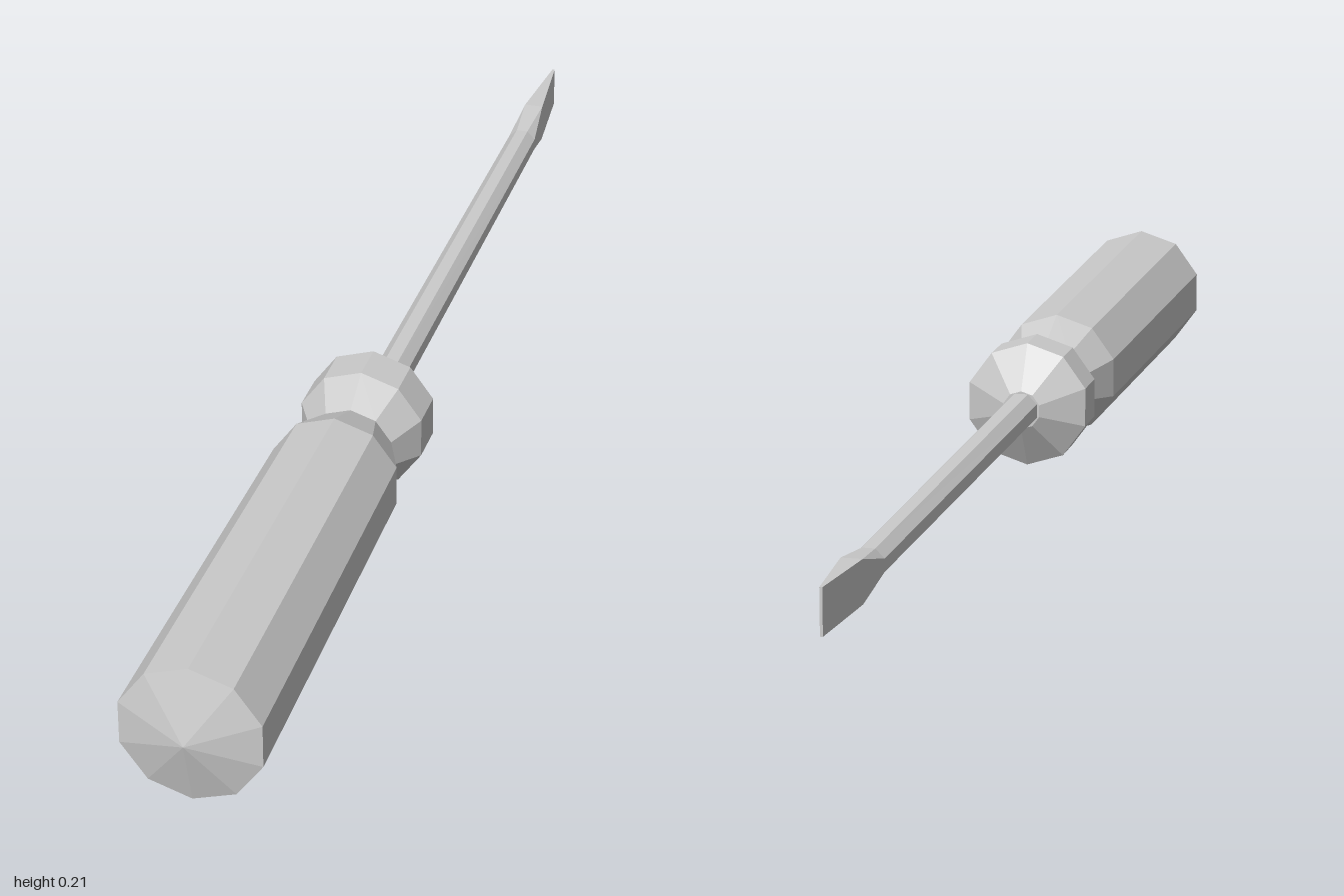
import * as THREE from 'three';

const AXIS_Y = 0.106;
const material = new THREE.MeshStandardMaterial({ color: 0xcccccc, flatShading: true });

// Faceted solid turned around the z axis from [radius, z] pairs, ascending in z
function turned(name, profile, sides) {
  const geometry = new THREE.LatheGeometry(profile.map(([r, z]) => new THREE.Vector2(r, z)), sides);
  geometry.rotateX(Math.PI / 2);
  const mesh = new THREE.Mesh(geometry, material);
  mesh.name = name;
  return mesh;
}

// Eight-sided loft along z; flat sections push the octagon corners out to a rectangle
function bladeLoft(name, sections) {
  const n = 8, positions = [], index = [];
  for (const { z, hx, hy, flat } of sections) {
    for (let i = 0; i < n; i++) {
      const a = ((i + 0.5) / n) * Math.PI * 2;
      const c = Math.cos(a), s = Math.sin(a);
      positions.push(hx * (flat ? Math.sign(c) : c), hy * (flat ? Math.sign(s) : s), z);
    }
  }
  for (let k = 0; k < sections.length - 1; k++) {
    for (let i = 0; i < n; i++) {
      const a = k * n + i, b = k * n + (i + 1) % n;
      index.push(a, a + n, b, b, a + n, b + n);
    }
  }
  // End caps
  const last = (sections.length - 1) * n;
  for (let i = 1; i < n - 1; i++) {
    index.push(0, i, i + 1, last, last + i + 1, last + i);
  }
  const geometry = new THREE.BufferGeometry();
  geometry.setAttribute('position', new THREE.Float32BufferAttribute(positions, 3));
  geometry.setIndex(index);
  geometry.computeVertexNormals();
  const mesh = new THREE.Mesh(geometry, material);
  mesh.name = name;
  return mesh;
}

export function createModel() {
  const group = new THREE.Group();
  group.name = 'screwdriver';

  // Ten-sided grip with waist, collar and pointed butt
  const handle = turned('handle', [
    [0, 0.075], [0.03, 0.075], [0.097, 0.115], [0.097, 0.18],
    [0.065, 0.235], [0.098, 0.315], [0.105, 0.97], [0, 1],
  ], 10);

  // Slightly tapered shaft flattening into a wedge tip
  const shaft = bladeLoft('shaftAndBlade', [
    { z: 0.1, hx: 0.027, hy: 0.028 },
    { z: -0.78, hx: 0.024, hy: 0.024 },
    { z: -0.86, hx: 0.015, hy: 0.031, flat: true },
    { z: -1, hx: 0.002, hy: 0.033, flat: true },
  ]);

  for (const part of [handle, shaft]) {
    part.position.y = AXIS_Y;
    group.add(part);
  }
  return group;
}
